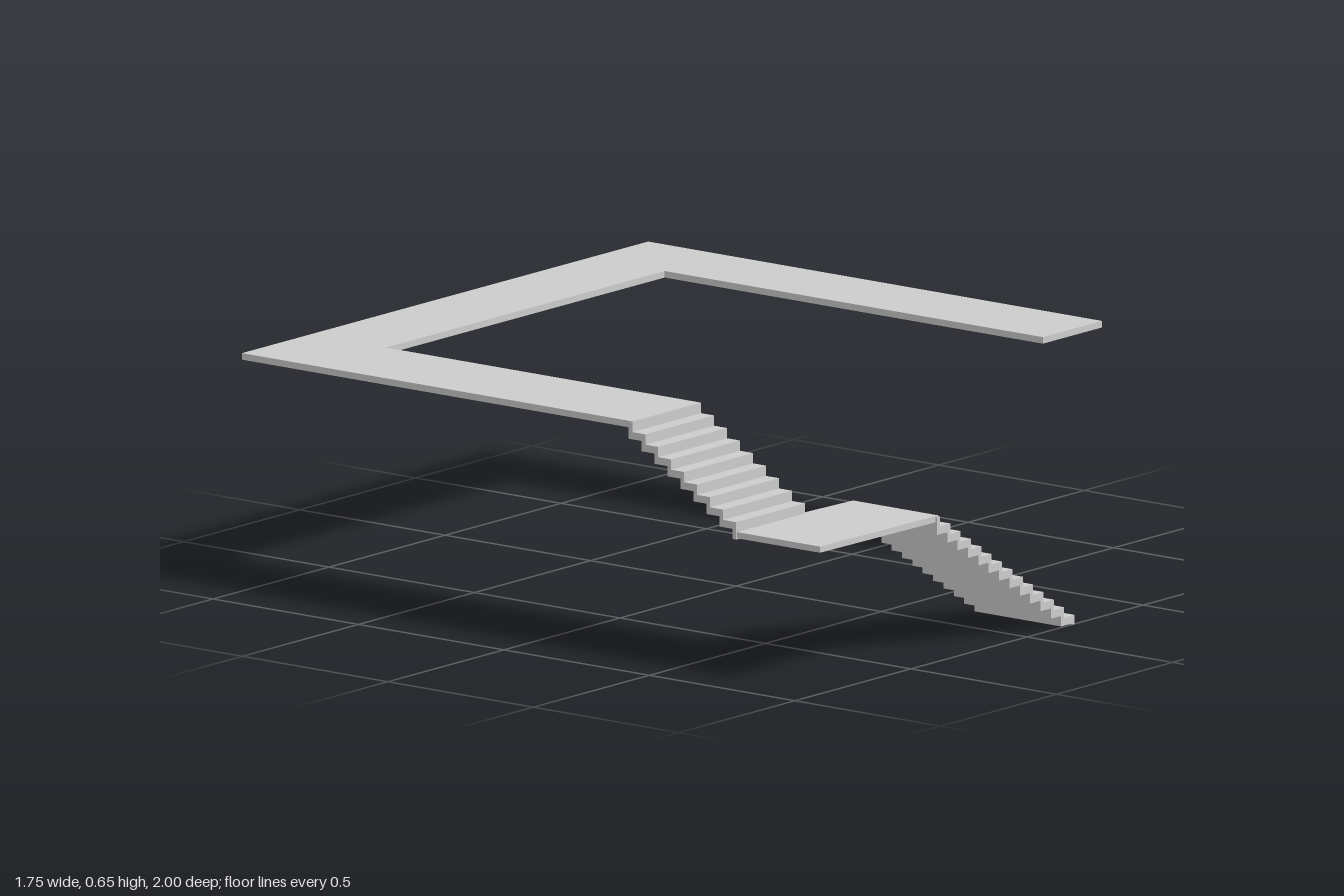
import * as THREE from 'three';

const material = new THREE.MeshStandardMaterial({ color: 0xcccccc, flatShading: true });

function extrude(points, depth) {
  const shape = new THREE.Shape(points.map(([a, b]) => new THREE.Vector2(a, b)));
  return new THREE.ExtrudeGeometry(shape, { depth, bevelEnabled: false });
}

// Flat slab from an outline of [x, z] corners
function slab(name, outline, bottom, top) {
  const geometry = extrude(outline.map(([x, z]) => [x, -z]), top - bottom);
  geometry.rotateX(-Math.PI / 2).translate(0, bottom, 0);
  const mesh = new THREE.Mesh(geometry, material);
  mesh.name = name;
  return mesh;
}

// Folded stair ribbon climbing towards smaller s; the base is the foot of the first riser
function stairRibbon({ count, nose, first, base, run, rise, tread, riser, width }) {
  const upper = [], lower = [];
  for (let i = 0; i < count; i++) {
    const s = nose - i * run, y = first + i * rise;
    upper.push([s, y], [s - run, y]);
    lower.push([s - riser, y - tread], [s - run - riser, y - tread]);
  }
  // last riser meets the floor above
  const endY = first + count * rise - 0.002, endS = nose - count * run;
  upper.push([endS, endY]);
  lower.push([endS - riser, endY]);
  return extrude([[nose, base], ...upper, ...lower.reverse(), [nose - riser, base]], width);
}

export function createModel() {
  const group = new THREE.Group();
  group.name = 'staircaseWithGallery';

  // Upper U-shaped walkway
  group.add(slab('gallery', [
    [-0.875, 0.342], [-0.58, 0.342], [-0.58, -0.74], [0.62, -0.74],
    [0.62, 0.56], [0.875, 0.56], [0.875, -1], [-0.875, -1],
  ], 0.637, 0.655));

  // Corner landing, slightly out of square
  group.add(slab('landing', [
    [-0.873, 0.985], [-0.375, 0.995], [-0.375, 0.702], [-0.58, 0.69], [-0.58, 0.7], [-0.873, 0.7],
  ], 0.383, 0.4));

  // Lower flight, rising towards -x
  const lower = new THREE.Mesh(stairRibbon({
    count: 13, nose: 0.205, first: 0.025, base: 0, run: 0.0446, rise: 0.0288,
    tread: 0.022, riser: 0.013, width: 0.298,
  }), material);
  lower.name = 'lowerFlight';
  lower.position.z = 0.702;
  group.add(lower);

  // Upper flight, rising towards -z
  const geometry = stairRibbon({
    count: 8, nose: 0.7, first: 0.428, base: 0.38, run: 0.0446, rise: 0.0283,
    tread: 0.02, riser: 0.013, width: 0.297,
  });
  geometry.rotateY(-Math.PI / 2);
  const upper = new THREE.Mesh(geometry, material);
  upper.name = 'upperFlight';
  upper.position.x = -0.58;
  group.add(upper);

  return group;
}
